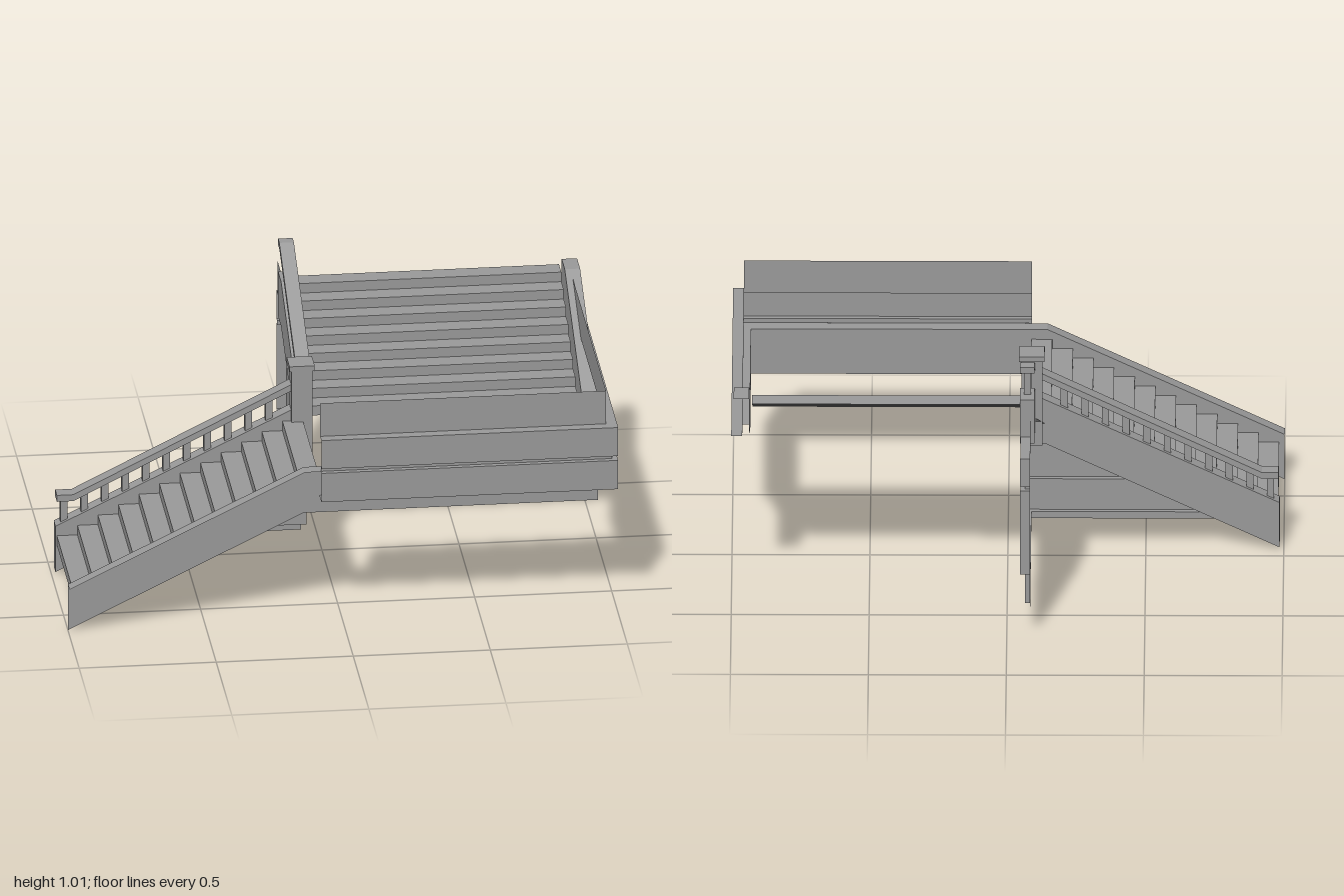
import * as THREE from 'three';

const mat = new THREE.MeshStandardMaterial({ color: 0x999999, flatShading: true, side: THREE.DoubleSide });

function add(group, name, geometry) {
  const mesh = new THREE.Mesh(geometry, mat);
  mesh.name = name;
  group.add(mesh);
  return mesh;
}

// Open sheet: quads between neighbouring rows of points
function sheet(rows) {
  const p = [];
  for (let i = 0; i < rows.length - 1; i++) {
    for (let j = 0; j < rows[i].length - 1; j++) {
      const a = rows[i][j], b = rows[i][j + 1], c = rows[i + 1][j + 1], d = rows[i + 1][j];
      p.push(...a, ...d, ...b, ...b, ...d, ...c);
    }
  }
  const g = new THREE.BufferGeometry();
  g.setAttribute('position', new THREE.Float32BufferAttribute(p, 3));
  g.computeVertexNormals();
  return g;
}

// Solid slab from a side outline
function slab(points, depth) {
  const shape = new THREE.Shape(points.map(([x, y]) => new THREE.Vector2(x, y)));
  return new THREE.ExtrudeGeometry(shape, { depth, bevelEnabled: false });
}

const RISE = 0.0374, RUN = 0.0748, SLOPE = 0.488;

// Zigzag treads and risers along u, from v upwards
function zigzag(u, v, count) {
  const pts = [[u, v]];
  for (let i = 0; i < count; i++) {
    pts.push([u + i * RUN, v + (i + 1) * RISE], [u + (i + 1) * RUN, v + (i + 1) * RISE]);
  }
  return pts;
}

// Stringer, handrail and balusters drawn in a side plane (u along the climb)
function balustrade(name, { stringer, rail, railBase, first, count, width }) {
  const g = new THREE.Group();
  g.name = name;
  add(g, 'innerStringer', slab(stringer, width));
  const under = [...rail].reverse().map(([u, v]) => [u, v - 0.025]);
  add(g, 'handrail', slab([...rail, ...under], width));
  const railAt = (u) => {
    for (let i = 0; i < rail.length - 1; i++) {
      const [a, b] = [rail[i], rail[i + 1]];
      if (u <= b[0]) return a[1] + (b[1] - a[1]) * (u - a[0]) / (b[0] - a[0]);
    }
    return rail[rail.length - 1][1];
  };
  for (let i = 0; i < count; i++) {
    const u = first + i * RUN, top = railAt(u) - 0.015, low = railBase(u) - 0.02;
    add(g, 'baluster', new THREE.BoxGeometry(0.026, top - low, 0.026))
      .position.set(u, (top + low) / 2, width / 2);
  }
  return g;
}

export function createModel() {
  const model = new THREE.Group();
  model.name = 'cornerStaircase';

  // Two flights of steps
  add(model, 'lowerSteps', sheet(zigzag(-0.98, 0.112, 12).map(([x, y]) => [[x, y, 0.1], [x, y, 0.64]])));
  add(model, 'upperSteps', sheet(zigzag(-0.072, 0.561, 8).map(([u, y]) => [[-0.06, y, -u], [0.925, y, -u]])));

  // Open-side balustrades
  const lower = balustrade('lowerBalustrade', {
    stringer: [[-0.985, 0.007], [-0.14, 0.42], [-0.07, 0.42], [-0.07, 0.63], [-0.985, 0.187]],
    rail: [[-0.98, 0.308], [-0.92, 0.308], [-0.08, 0.725]],
    railBase: (x) => 0.18 + SLOPE * (x + 1),
    first: -0.952, count: 11, width: 0.055,
  });
  lower.position.z = 0.057;
  model.add(lower);

  const upper = balustrade('upperBalustrade', {
    stringer: [[-0.11, 0.44], [0.43, 0.705], [0.527, 0.705], [0.527, 0.88], [0.43, 0.88], [-0.11, 0.615]],
    rail: [[-0.08, 0.73], [0.485, 1.01], [0.525, 1.01]],
    railBase: (u) => Math.min(0.88, 0.67 + SLOPE * u),
    first: 0.021, count: 7, width: 0.053,
  });
  upper.rotation.y = Math.PI / 2;
  upper.position.x = -0.1;
  model.add(upper);

  // Corner newel with cap
  add(model, 'newelPost', new THREE.BoxGeometry(0.076, 0.345, 0.082)).position.set(-0.087, 0.593, 0.086);
  add(model, 'newelCap', new THREE.BoxGeometry(0.092, 0.02, 0.092)).position.set(-0.087, 0.77, 0.083);

  // Outer skirt and its ledge, following both flights and the landing: x, z, bottom, top, outward x, outward z
  const skirt = [
    [-1, 0.64, 0, 0.18, 0, 1], [-0.14, 0.64, 0.42, 0.6, 0, 1], [0.935, 0.64, 0.42, 0.6, 1, 1],
    [0.935, 0.13, 0.42, 0.6, 1, 0], [0.935, -0.43, 0.705, 0.88, 1, 0], [0.935, -0.527, 0.705, 0.88, 1, 0],
  ];
  add(model, 'outerSkirt', sheet(skirt.map(([x, z, b, t, ox, oz]) => [
    [x, b, z], [x, t, z], [x + ox * 0.056, t, z + oz * 0.052],
  ])));

  // Moulded parapet on the front and right: outward step, height, back end on the right
  const parapet = [
    [0.03, 0.86, -0.525], [0.03, 0.73, -0.525], [0.07, 0.73, -0.525], [0.07, 0.729, -0.22], [0.07, 0.618, -0.075],
    [0.05, 0.618, -0.075], [0.05, 0.601, -0.075], [0.07, 0.601, 0.075], [0.07, 0.488, 0.075], [0.005, 0.488, 0.075],
  ];
  add(model, 'parapet', sheet(parapet.map(([o, y, end]) => [
    [-0.083, y, 0.64 + o], [0.93 + o, y, 0.64 + o], [0.93 + o, y, end],
  ])));

  // Moulded wall beneath the flights, mitred round the inner corner and returned at the back
  const wall = [
    [0, 0.86], [0, 0.73], [0.036, 0.73], [0.036, 0.618], [0.018, 0.618], [0.018, 0.601], [0.036, 0.601],
    [0.036, 0.45], [0.036, 0.265], [0.018, 0.265], [0.018, 0.142], [0, 0.142], [0, 0.115],
  ];
  add(model, 'wallBelowStairs', sheet(wall.map(([o, y]) => {
    const cx = -0.085 + o, cz = 0.072 + o, back = -0.673 - o;
    const z0 = Math.max(-0.5, Math.min(cz, 0.13 - (y - 0.52) / SLOPE));
    const x0 = Math.min(cx, -1 + (y - 0.05) / SLOPE);
    // above the corner the wall starts behind the upper stringer
    const start = y > 0.5 ? [[cx, y, z0], [cx, y, z0]] : [[x0, y, cz], [cx, y, cz]];
    return [...start, [cx, y, z0], [cx, y, back], [-0.085, y, back]];
  })));

  return model;
}
